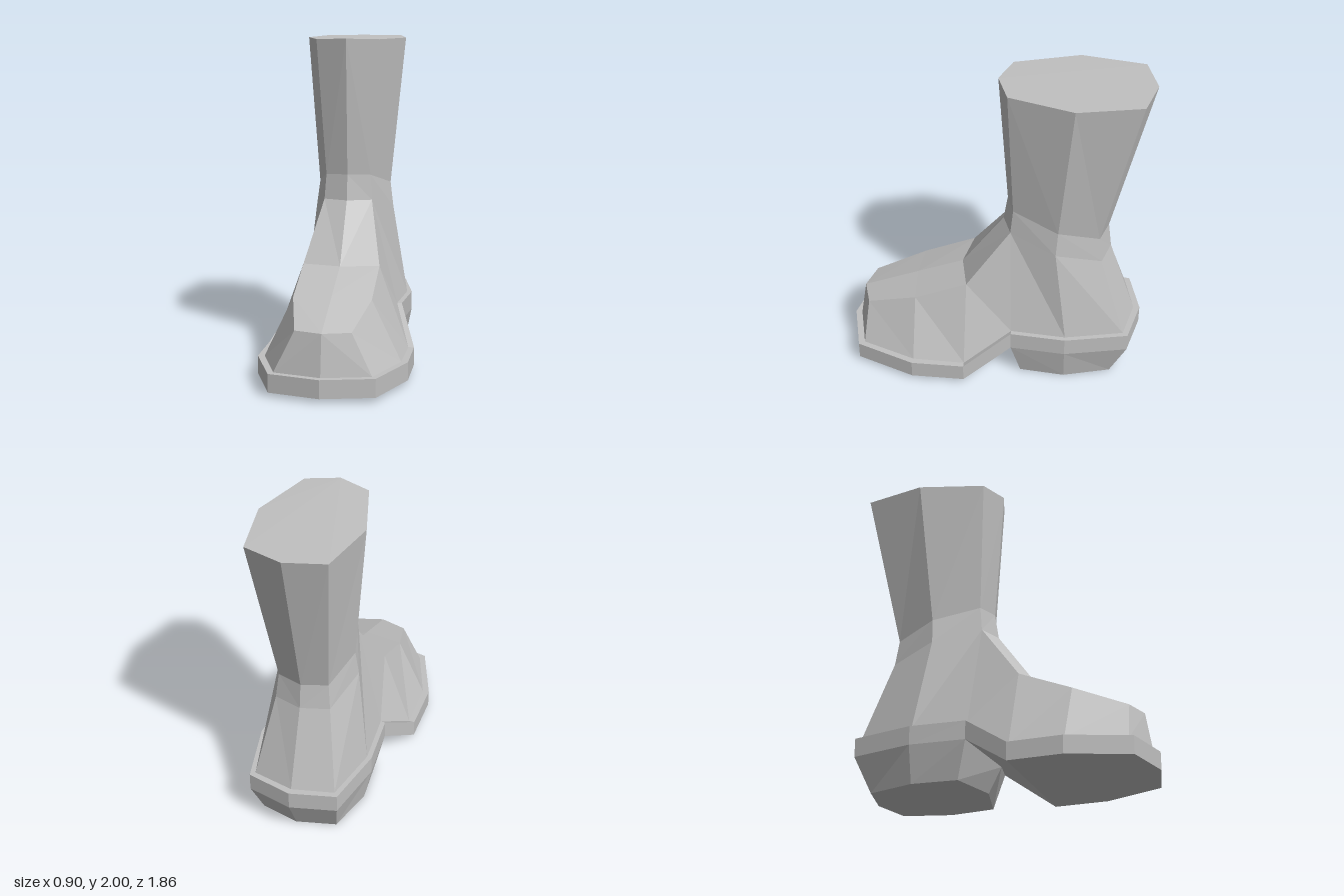
import * as THREE from 'three';

// Turns half polygons (x >= 0) into a flat-faced mesh, mirrored across x = 0
function mirroredMesh(name, faces, material) {
  const pos = [];
  for (const f of faces) {
    for (let i = 1; i < f.length - 1; i++) {
      const [a, b, c] = [f[0], f[i], f[i + 1]];
      pos.push(...a, ...b, ...c);
      for (const p of [a, c, b]) pos.push(-p[0], p[1], p[2]);
    }
  }
  const geo = new THREE.BufferGeometry();
  geo.setAttribute('position', new THREE.Float32BufferAttribute(pos, 3));
  geo.computeVertexNormals();
  const mesh = new THREE.Mesh(geo, material);
  mesh.name = name;
  return mesh;
}

// Quads between a lower/outer and an upper/inner half ring, both running back to front
const strip = (a, b) => a.slice(0, -1).map((p, i) => [p, b[i], b[i + 1], a[i + 1]]);

// Gives a plan outline [x, z] its heights: heel part (first 4), then forefoot
const raise = (outline, heelY, frontY) =>
  outline.map(([x, z], i) => [x, i < 4 ? heelY : frontY, z]);

export function createModel() {
  const leather = new THREE.MeshStandardMaterial({ color: 0xc0c0c0 });
  leather.name = 'grey';
  const group = new THREE.Group();
  group.name = 'boot';

  // Plan outlines, back centre to front centre
  const outer = [[0, -0.93], [0.28, -0.86], [0.365, -0.47], [0.34, -0.13],
    [0.45, 0.16], [0.45, 0.49], [0.31, 0.855], [0, 0.93]];
  const inner = [[0, -0.89], [0.255, -0.83], [0.335, -0.47], [0.31, -0.13],
    [0.415, 0.16], [0.41, 0.485], [0.285, 0.82], [0, 0.89]];
  const soleTop = raise(outer, 0.34, 0.135);
  const soleBottom = raise(outer, 0.225, 0.025);
  const upperBase = raise(inner, 0.34, 0.135);

  // Shaft rings: rim, ankle, instep start
  const rim = [[0, 2, -0.93], [0.24, 2, -0.86], [0.315, 1.995, -0.475], [0.195, 1.995, -0.085], [0, 2, -0.015]];
  const ankle = [[0, 1, -0.70], [0.155, 1, -0.65], [0.23, 1.075, -0.40], [0.14, 1.155, -0.12], [0, 1.16, -0.075]];
  const collar = [[0, 0.84, -0.72], [0.17, 0.84, -0.67], [0.25, 0.92, -0.39], [0.15, 1, -0.105], [0, 1, -0.05]];

  // Top of the foot: side edge and centre line from instep to toe
  const vampSide = [collar[3], [0.235, 0.635, 0.16], [0.235, 0.5, 0.485], [0.165, 0.38, 0.80]];
  const vampCentre = [collar[4], [0, 0.635, 0.21], [0, 0.52, 0.5], [0, 0.38, 0.85]];
  const footEdge = [...collar.slice(0, 3), ...vampSide, vampCentre[3]];

  group.add(mirroredMesh('upper', [
    [...rim].reverse(),
    ...strip(ankle, rim),
    ...strip(collar, ankle),
    ...strip(vampSide, vampCentre),
    ...strip(upperBase, footEdge),
  ], leather));

  // Sole: ledge, rim wall, forefoot underside and sloping arch
  const archCentre = [0, 0.156, -0.03];
  const archFront = [0, 0.025, 0.16];
  group.add(mirroredMesh('sole', [
    ...strip(soleTop, upperBase),
    ...strip(soleBottom, soleTop),
    [archFront, ...soleBottom.slice(4)],
    [archCentre, soleBottom[3], soleBottom[4], archFront],
  ], leather));

  // Tapered heel block
  const heelBottom = [[0, 0, -0.82], [0.24, 0, -0.76], [0.32, 0, -0.47], [0.295, 0, -0.19], [0, 0, -0.11]];
  group.add(mirroredMesh('heel', [
    ...strip(heelBottom, [...soleBottom.slice(0, 4), archCentre]),
    heelBottom,
  ], leather));

  return group;
}
